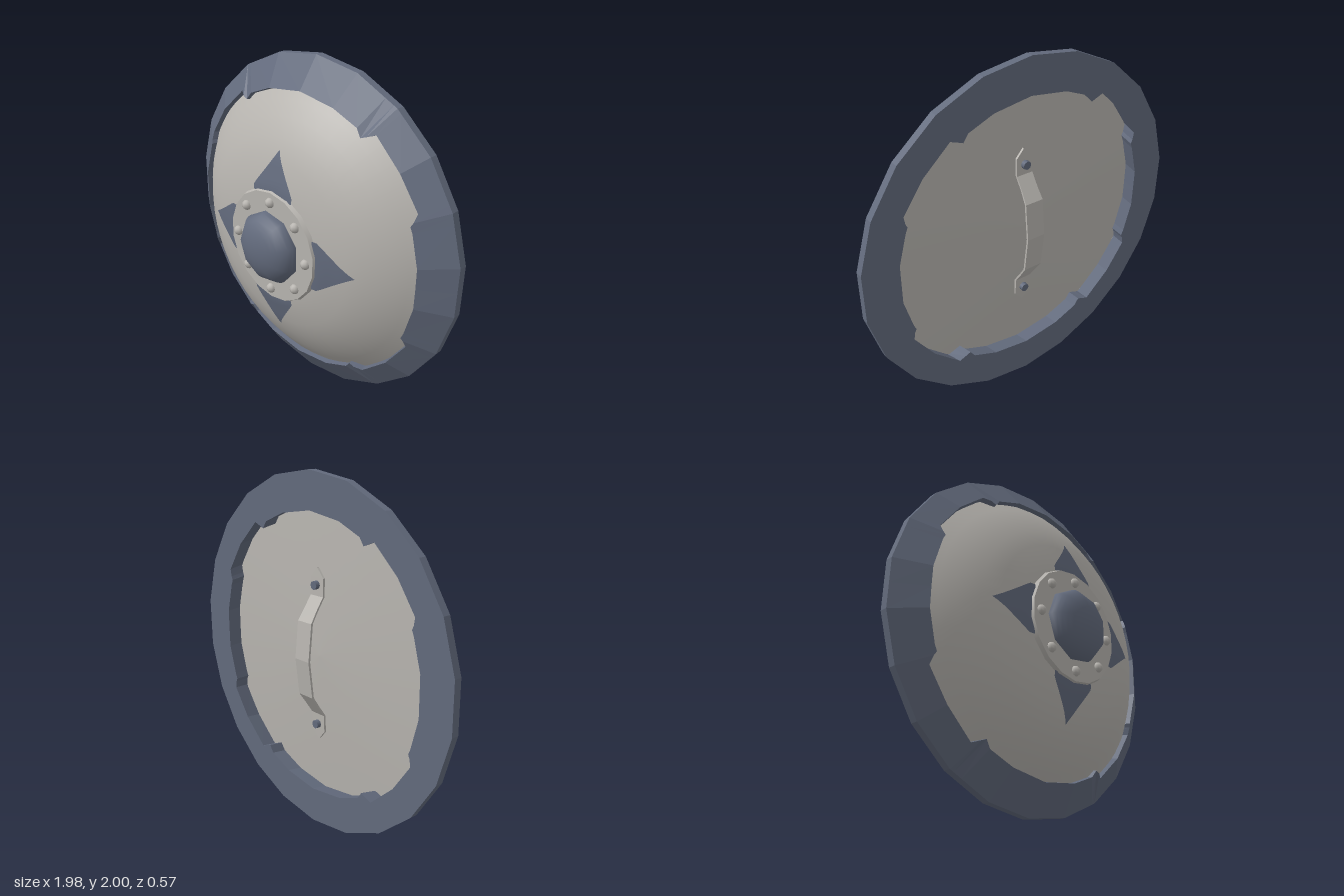
import * as THREE from 'three';

const steel = new THREE.MeshStandardMaterial({ color: 0x636b7d, side: THREE.DoubleSide });
steel.name = 'blue steel';
const plate = new THREE.MeshStandardMaterial({ color: 0xb8b5b0, side: THREE.DoubleSide });
plate.name = 'pale metal';

// Joins matching cross-sections into a faceted surface
function loft(sections, closed) {
  const pos = [];
  const n = sections[0].length;
  const last = closed ? sections.length : sections.length - 1;
  for (let i = 0; i < last; i++) {
    const s = sections[i], t = sections[(i + 1) % sections.length];
    for (let j = 0; j < n; j++) {
      const k = (j + 1) % n;
      pos.push(...s[j], ...s[k], ...t[k], ...s[j], ...t[k], ...t[j]);
    }
  }
  const g = new THREE.BufferGeometry();
  g.setAttribute('position', new THREE.Float32BufferAttribute(pos, 3));
  g.computeVertexNormals();
  return g;
}

// Dome profile: radius, depth
const PROFILE = [[0.86, -0.12], [0.78, -0.055], [0.7, 0.005], [0.6, 0.06],
  [0.5, 0.1], [0.35, 0.138], [0.2, 0.15], [0, 0.152]];

function domeZ(r) {
  for (let i = 1; i < PROFILE.length; i++) {
    const [r0, z0] = PROFILE[i - 1], [r1, z1] = PROFILE[i];
    if (r >= r1) return z0 + (z1 - z0) * (r0 - r) / (r0 - r1);
  }
  return 0.152;
}

function lathe(points, segments) {
  return new THREE.LatheGeometry(points.map(p => new THREE.Vector2(...p)), segments).rotateX(Math.PI / 2);
}

// 22-sided rim with small teeth where the wide and narrow stretches meet
function rimGeometry() {
  const step = 360 / 22;
  const rad = Math.PI / 180;
  const quarter = [[0, 0.83], [step, 0.83], [28, 0.83], [31.3, 0.808], [2 * step, 0.835],
    [34.5, 0.87], [3 * step, 0.867], [63, 0.87], [4 * step, 0.845], [66.5, 0.828],
    [69, 0.828], [5 * step, 0.83], [90, 0.822]];
  const half = [...quarter, ...quarter.slice(0, -1).reverse().map(([a, r]) => [180 - a, r])];
  const full = [...half, ...half.slice(1, -1).reverse().map(([a, r]) => [360 - a, r])];
  return loft(full.map(([a, r]) => {
    const outer = Math.cos(step / 2 * rad) / Math.cos(((a + 1e-6) % step - step / 2) * rad);
    const z = Math.min(-0.055, -0.175 + (outer - r) * 0.7);
    const at = (d, h) => [d * Math.sin(a * rad), d * Math.cos(a * rad), h];
    return [at(outer, -0.22), at(outer, -0.175), at(r, z), at(r - 0.035, -0.22)];
  }), true);
}

// Pointed blade lying on the dome
function bladeGeometry() {
  const g = new THREE.PlaneGeometry(1, 1, 6, 8);
  const p = g.attributes.position;
  for (let i = 0; i < p.count; i++) {
    const v = p.getY(i) + 0.5;
    const y = 0.3 + 0.25 * v;
    const width = 0.29 * Math.min(1, Math.pow((0.55 - y) / 0.215, 1.1));
    const x = p.getX(i) * width;
    p.setXYZ(i, x, y, domeZ(Math.hypot(x, y)) + 0.009);
  }
  g.computeVertexNormals();
  return g;
}

// Bent strap with pointed feet: height, depth, half width
function handleGeometry() {
  const top = [[0.49, -0.17, 0.004], [0.44, -0.172, 0.05], [0.34, -0.175, 0.05],
    [0.27, -0.222, 0.05], [0.21, -0.262, 0.055], [0, -0.285, 0.055]];
  const path = [...top, ...top.slice(0, -1).reverse().map(([y, z, w]) => [-y, z, w])];
  return loft(path.map(([y, z, w]) =>
    [[-w, y, z], [w, y, z], [w, y, z + 0.012], [-w, y, z + 0.012]]), false);
}

export function createModel() {
  const root = new THREE.Group();
  root.name = 'roundShield';
  const shield = new THREE.Group();
  shield.name = 'shieldBody';
  shield.position.y = 1;
  root.add(shield);

  const add = (name, geometry, material) => {
    const m = new THREE.Mesh(geometry, material);
    m.name = name;
    shield.add(m);
    return m;
  };

  // Rim and face
  add('rim', rimGeometry(), steel);
  add('dome', lathe(PROFILE, 48), plate);
  add('backPanel', lathe([[0, -0.16], [0.4, -0.15], [0.86, -0.12]], 44), plate);

  // Centre plate and boss
  add('centrePlate', new THREE.CylinderGeometry(0.325, 0.335, 0.025, 18).rotateX(Math.PI / 2), plate)
    .position.z = 0.15;
  const boss = new THREE.SphereGeometry(0.212, 9, 8, 0, Math.PI * 2, 0, Math.PI / 2);
  boss.scale(1, 0.125 / 0.212, 1).rotateX(Math.PI / 2);
  add('boss', boss, steel).position.z = 0.16;

  // Four blades
  for (let i = 0; i < 4; i++) {
    add('blade', bladeGeometry(), steel).rotation.z = i * Math.PI / 2;
  }

  // Ring of rivets
  const rivet = new THREE.SphereGeometry(0.029, 8, 6);
  for (let i = 0; i < 8; i++) {
    const a = i * Math.PI / 4;
    add('rivet', rivet, plate).position.set(0.268 * Math.cos(a), 0.268 * Math.sin(a), 0.162);
  }

  // Handle and its bolts
  add('handle', handleGeometry(), plate);
  for (const s of [1, -1]) {
    add('handleBolt', new THREE.CylinderGeometry(0.024, 0.024, 0.04, 8).rotateX(Math.PI / 2), steel)
      .position.set(0, 0.4 * s, -0.178);
  }
  return root;
}
